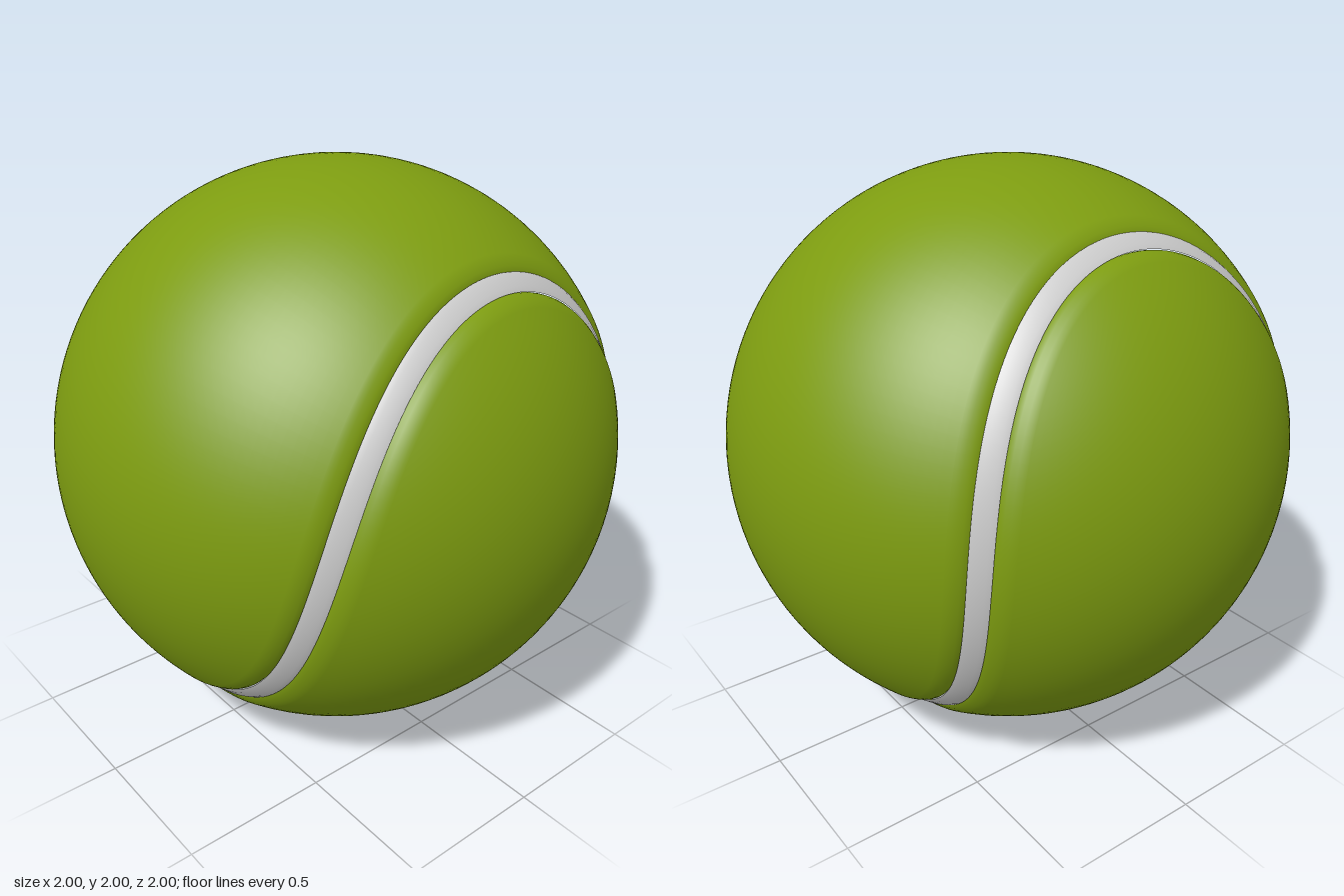
import * as THREE from 'three';

const STEPS = 240; // samples around the seam

// Closed seam curve lying on the unit sphere
function seamPoint(t) {
  const a = 0.82, b = 0.18;
  return new THREE.Vector3(
    a * Math.sin(t) + b * Math.sin(3 * t),
    2 * Math.sqrt(a * b) * Math.cos(2 * t),
    a * Math.cos(t) - b * Math.cos(3 * t)
  );
}

// Point at arc distance s beside the seam, at radius r
function besideSeam(t, s, r = 1) {
  const p = seamPoint(t).normalize();
  const tangent = seamPoint(t + 0.001).sub(seamPoint(t - 0.001));
  const side = new THREE.Vector3().crossVectors(p, tangent).normalize();
  return p.multiplyScalar(Math.cos(s)).addScaledVector(side, Math.sin(s)).multiplyScalar(r);
}

// Grid surface from point(i, j); rows may close into a loop
function gridSurface(rows, cols, point, closed) {
  const positions = [], index = [];
  const count = closed ? rows : rows + 1;
  for (let i = 0; i < count; i++)
    for (let j = 0; j <= cols; j++) positions.push(...point(i, j).toArray());
  const at = (i, j) => (i % count) * (cols + 1) + j;
  for (let i = 0; i < rows; i++)
    for (let j = 0; j < cols; j++) {
      index.push(at(i, j), at(i + 1, j), at(i + 1, j + 1));
      index.push(at(i, j), at(i + 1, j + 1), at(i, j + 1));
    }
  const g = new THREE.BufferGeometry();
  g.setAttribute('position', new THREE.Float32BufferAttribute(positions, 3));
  g.setIndex(index);
  g.computeVertexNormals();
  return g;
}

// Sweep a profile of [distance, radius] pairs along the whole seam
function sweepAlongSeam(profile) {
  return gridSurface(STEPS, profile.length - 1,
    (i, j) => besideSeam((i / STEPS) * Math.PI * 2, ...profile[j]), true);
}

export function createModel() {
  const feltMaterial = new THREE.MeshStandardMaterial({ color: 0x7d9c10 });
  const seamMaterial = new THREE.MeshStandardMaterial({ color: 0xcccccc });

  // Rolled felt edge sinking into the seam groove
  const rimProfile = [[0.033, 0.978], [0.04, 0.985], [0.055, 0.993], [0.075, 0.998], [0.09, 1], [0.1, 1]];
  const rimGeometry = sweepAlongSeam(rimProfile);

  // Dumbbell panel: arcs joining the two mirrored long edges
  const cols = 40;
  const panelGeometry = gridSurface(STEPS / 2, cols, (i, j) => {
    const edge = besideSeam((i / (STEPS / 2) - 0.5) * Math.PI, 0.1);
    const angle = Math.asin(edge.z) * (1 - (2 * j) / cols);
    const mid = new THREE.Vector3(edge.x, edge.y, 0).normalize();
    return mid.multiplyScalar(Math.cos(angle)).setZ(Math.sin(angle));
  }, false);
  panelGeometry.setAttribute('normal', panelGeometry.attributes.position.clone());

  const ball = new THREE.Group();
  ball.name = 'ball';

  // Two identical interlocking felt panels, half a turn apart
  const halfTurnAxis = new THREE.Vector3(1, 0, 1).normalize();
  ['upperFelt', 'lowerFelt'].forEach((name, k) => {
    const felt = new THREE.Group();
    felt.name = name;
    const panel = new THREE.Mesh(panelGeometry, feltMaterial);
    panel.name = 'feltPanel';
    const rim = new THREE.Mesh(rimGeometry, feltMaterial);
    rim.name = 'feltRim';
    felt.add(panel, rim);
    felt.quaternion.setFromAxisAngle(halfTurnAxis, k * Math.PI);
    ball.add(felt);
  });

  // Rubber seam ribbon
  const seam = new THREE.Mesh(
    sweepAlongSeam([[-0.037, 0.986], [-0.018, 0.99], [0.018, 0.99], [0.037, 0.986]]), seamMaterial);
  seam.name = 'seam';
  ball.add(seam);

  // Slight tilt, resting on the ground
  ball.rotation.set(0.087, 0.07, -0.07);
  ball.position.y = 1;

  const model = new THREE.Group();
  model.name = 'tennisBall';
  model.add(ball);
  return model;
}
